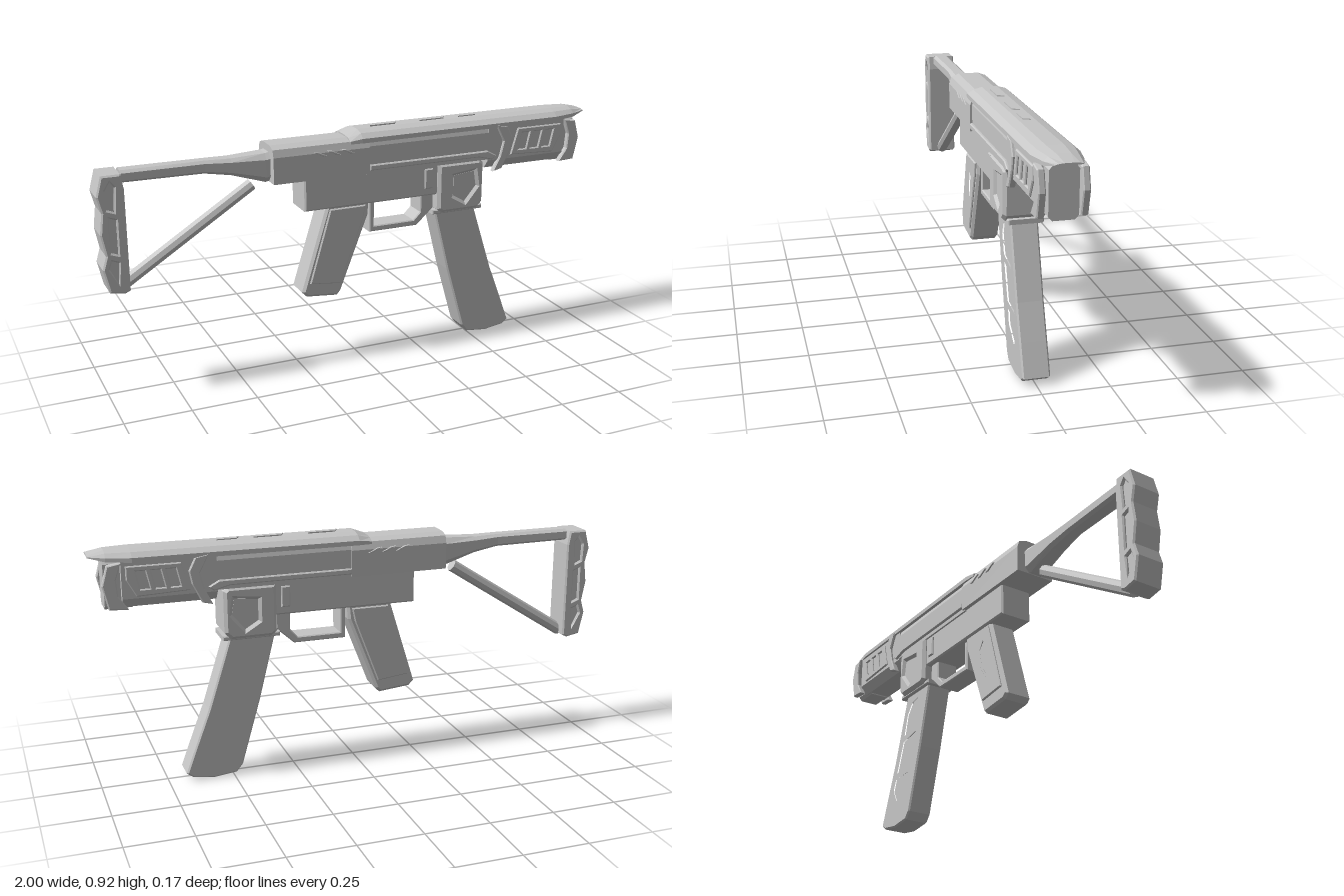
import * as THREE from 'three';

const metal = new THREE.MeshStandardMaterial({ color: 0xc6c6c6 });
metal.name = 'light grey';

export function createModel() {
  const model = new THREE.Group();
  model.name = 'model';

  const add = (name, geometry) => {
    const mesh = new THREE.Mesh(geometry, metal);
    mesh.name = name;
    model.add(mesh);
    return mesh;
  };
  const path = (pts, Type) => new Type(pts.map(([x, y]) => new THREE.Vector2(x, y)));

  // Side outline extruded across z from z0 to z1, with chamfered edges and holes
  function slab(name, pts, z0, z1, bevel = 0.006, holes = []) {
    const shape = path(pts, THREE.Shape);
    shape.holes = holes.map((h) => path(h, THREE.Path));
    const g = new THREE.ExtrudeGeometry(shape, {
      depth: z1 - z0 - 2 * bevel, bevelEnabled: bevel > 0, bevelSegments: 1,
      bevelSize: bevel, bevelThickness: bevel, bevelOffset: -bevel,
    });
    return add(name, g.translate(0, 0, z0 + bevel));
  }

  // Symmetric slab whose holes are closed by sunken panels
  function panelled(name, pts, half, holes, depth = 0.01, bevel = 0.006) {
    slab(name, pts, -half, half, bevel, holes);
    holes.forEach((h) => slab(name + 'Recess', h, depth - half, half - depth, 0));
  }

  // Matching plates on both sides
  function pair(name, pts, inner, outer, bevel = 0.004) {
    slab(name + 'Left', pts, inner, outer, bevel);
    slab(name + 'Right', pts, -outer, -inner, bevel);
  }

  // Faceted loft along x; stations are [x, bottom, top, halfWidth]
  function loft(name, half, stations) {
    const ring = [...half, ...half.slice().reverse().map(([z, y]) => [-z, y])];
    const n = ring.length;
    const at = (i, j) => {
      const [x, y0, y1, w] = stations[i];
      const [z, y] = ring[j % n];
      return [x, y0 + (y1 - y0) * y, z * w];
    };
    const v = [];
    for (let i = 0; i < stations.length - 1; i++) {
      for (let j = 0; j < n; j++) {
        const a = at(i, j), b = at(i + 1, j), c = at(i + 1, j + 1), d = at(i, j + 1);
        v.push(...a, ...b, ...c, ...a, ...c, ...d);
      }
    }
    const e = stations.length - 1;
    for (let j = 1; j < n - 1; j++) {
      v.push(...at(0, 0), ...at(0, j), ...at(0, j + 1));
      v.push(...at(e, 0), ...at(e, j + 1), ...at(e, j));
    }
    const g = new THREE.BufferGeometry();
    g.setAttribute('position', new THREE.Float32BufferAttribute(v, 3));
    g.computeVertexNormals();
    return add(name, g);
  }

  const rect = (x0, y0, x1, y1) => [[x0, y0], [x1, y0], [x1, y1], [x0, y1]];
  const octagon = [[0.6, 0], [1, 0.2], [1, 0.8], [0.6, 1]];
  const roofed = [[1, 0], [1, 0.72], [0.88, 0.92], [0.5, 1]];

  // Shoulder stock: grooved plate, top tube and diagonal strut
  panelled('stockPlate', [[-0.98, 0.855], [-0.91, 0.855], [-0.9, 0.8], [-0.9, 0.42], [-0.92, 0.41],
    [-0.975, 0.42], [-0.995, 0.51], [-0.98, 0.56], [-0.995, 0.64], [-0.985, 0.72], [-1, 0.78]], 0.058, [
    [[-0.965, 0.73], [-0.94, 0.72], [-0.935, 0.81], [-0.95, 0.83], [-0.968, 0.8]],
    [[-0.96, 0.57], [-0.935, 0.56], [-0.935, 0.69], [-0.96, 0.7]],
    [[-0.97, 0.51], [-0.94, 0.45], [-0.935, 0.53], [-0.96, 0.54]],
  ]);
  loft('stockTube', octagon, [[-0.905, 0.815, 0.86, 0.035], [-0.6, 0.812, 0.86, 0.032],
    [-0.5, 0.795, 0.858, 0.038], [-0.37, 0.755, 0.865, 0.046], [-0.34, 0.76, 0.87, 0.046]]);
  const a = new THREE.Vector3(-0.91, 0.43, 0), b = new THREE.Vector3(-0.415, 0.745, 0);
  const strut = add('stockStrut', new THREE.CylinderGeometry(0.024, 0.024, a.distanceTo(b), 8).toNonIndexed());
  strut.geometry.computeVertexNormals();
  strut.position.copy(a).lerp(b, 0.5);
  strut.quaternion.setFromUnitVectors(new THREE.Vector3(0, 1, 0), b.clone().sub(a).normalize());

  // Upper receiver and top cover
  loft('rearReceiver', roofed, [[-0.355, 0.755, 0.895, 0.08], [0.03, 0.755, 0.895, 0.082]]);
  loft('frontReceiver', roofed, [[0.02, 0.75, 0.9, 0.074], [0.6, 0.75, 0.9, 0.074]]);
  loft('topCover', [[1, 0], [1, 0.4], [0.75, 0.8], [0.35, 1]], [[-0.05, 0.875, 0.9, 0.078],
    [0, 0.875, 0.918, 0.083], [0.85, 0.878, 0.92, 0.083], [0.94, 0.883, 0.918, 0.066], [1, 0.898, 0.905, 0.045]]);
  for (const [x0, x1] of [[0.06, 0.18], [0.27, 0.39], [0.44, 0.53]]) {
    const s = slab('topSlot', [[x0, -0.013], [x1 - 0.015, -0.013], [x1, 0.013], [x0 + 0.015, 0.013]], 0, 0.006, 0);
    s.rotation.x = -Math.PI / 2;
    s.position.y = 0.917;
  }
  for (let i = 0; i < 3; i++) {
    const x = -0.2 + i * 0.055;
    pair('receiverVent', [[x, 0.862], [x + 0.04, 0.842], [x + 0.055, 0.843], [x + 0.02, 0.86]], 0.076, 0.086, 0.002);
  }
  pair('sideRail', [[0.03, 0.765], [0.5, 0.765], [0.56, 0.75], [0.58, 0.765], [0.54, 0.787], [0.03, 0.787]], 0.065, 0.084);

  // Lower receiver, trigger guard and magazine well
  slab('lowerReceiver', rect(-0.23, 0.63, 0.34, 0.76), -0.066, 0.066);
  pair('catchButton', rect(0.27, 0.66, 0.305, 0.74), 0.06, 0.073);
  slab('triggerGuard', [[0.045, 0.66], [0.045, 0.507], [0.25, 0.507], [0.32, 0.57], [0.32, 0.66]], -0.045, 0.045, 0.004,
    [[[0.065, 0.635], [0.065, 0.53], [0.235, 0.53], [0.265, 0.56], [0.265, 0.635]]]);
  panelled('magazineWell', [[0.325, 0.755], [0.325, 0.57], [0.345, 0.555], [0.5, 0.555], [0.525, 0.58], [0.525, 0.74], [0.51, 0.755]],
    0.081, [[[0.395, 0.7], [0.485, 0.71], [0.495, 0.65], [0.445, 0.59], [0.395, 0.62]]], 0.01, 0.012);
  slab('magazineLip', rect(0.31, 0.548, 0.53, 0.566), -0.065, 0.065, 0.004);

  // Rear grip with raised side panels
  panelled('grip', [[-0.135, 0.64], [0.04, 0.64], [0.035, 0.58], [-0.08, 0.285], [-0.095, 0.268], [-0.22, 0.28], [-0.24, 0.3]],
    0.056, [[[-0.09, 0.6], [-0.05, 0.55], [-0.065, 0.47], [-0.115, 0.4], [-0.122, 0.49]]], 0.008, 0.01);
  for (const s of [-1, 1]) {
    slab('gripPanel', [[-0.125, 0.625], [0.022, 0.625], [0.01, 0.57], [-0.085, 0.32], [-0.21, 0.335]],
      s > 0 ? 0.05 : -0.063, s > 0 ? 0.063 : -0.05, 0.004,
      [[[-0.09, 0.6], [-0.05, 0.55], [-0.065, 0.47], [-0.115, 0.4], [-0.122, 0.49]]]);
  }

  // Curved magazine
  panelled('magazine', [[0.325, 0.56], [0.5, 0.56], [0.545, 0.42], [0.59, 0.28], [0.64, 0.15], [0.685, 0.03],
    [0.66, 0.012], [0.58, 0], [0.49, 0.01], [0.465, 0.04], [0.39, 0.3]], 0.051, [
    [[0.41, 0.53], [0.46, 0.52], [0.5, 0.47], [0.523, 0.375], [0.417, 0.395], [0.39, 0.47]],
    [[0.42, 0.38], [0.527, 0.36], [0.575, 0.225], [0.47, 0.235]],
    [[0.477, 0.218], [0.582, 0.208], [0.6, 0.16], [0.57, 0.1], [0.49, 0.155]],
  ], 0.007);

  // Handguard, muzzle block and wrap-around brackets
  loft('handguard', [[0.62, 0], [1, 0.2], [1, 1]], [[0.545, 0.71, 0.885, 0.074], [0.89, 0.71, 0.885, 0.074]]);
  loft('muzzleBlock', [[0.75, 0], [1, 0.08], [1, 0.92], [0.75, 1]], [[0.85, 0.705, 0.885, 0.05], [0.95, 0.705, 0.885, 0.05]]);
  const windowFrame = [[0.645, 0.76], [0.675, 0.865], [0.875, 0.865], [0.875, 0.815], [0.84, 0.752]];
  const slots = [0.68, 0.735, 0.79].map((x) => [[x, 0.778], [x + 0.035, 0.778], [x + 0.05, 0.845], [x + 0.015, 0.845]]);
  panelled('guardPanel', windowFrame, 0.081, slots, 0.008, 0.004);
  pair('rearBracket', [[0.575, 0.888], [0.625, 0.88], [0.65, 0.83], [0.64, 0.78], [0.605, 0.71], [0.565, 0.7],
    [0.595, 0.76], [0.61, 0.82]], 0.06, 0.085);
  pair('frontBracket', [[0.89, 0.88], [0.94, 0.872], [0.96, 0.8], [0.94, 0.712], [0.87, 0.708], [0.905, 0.76], [0.91, 0.82]],
    0.06, 0.085);

  return model;
}
